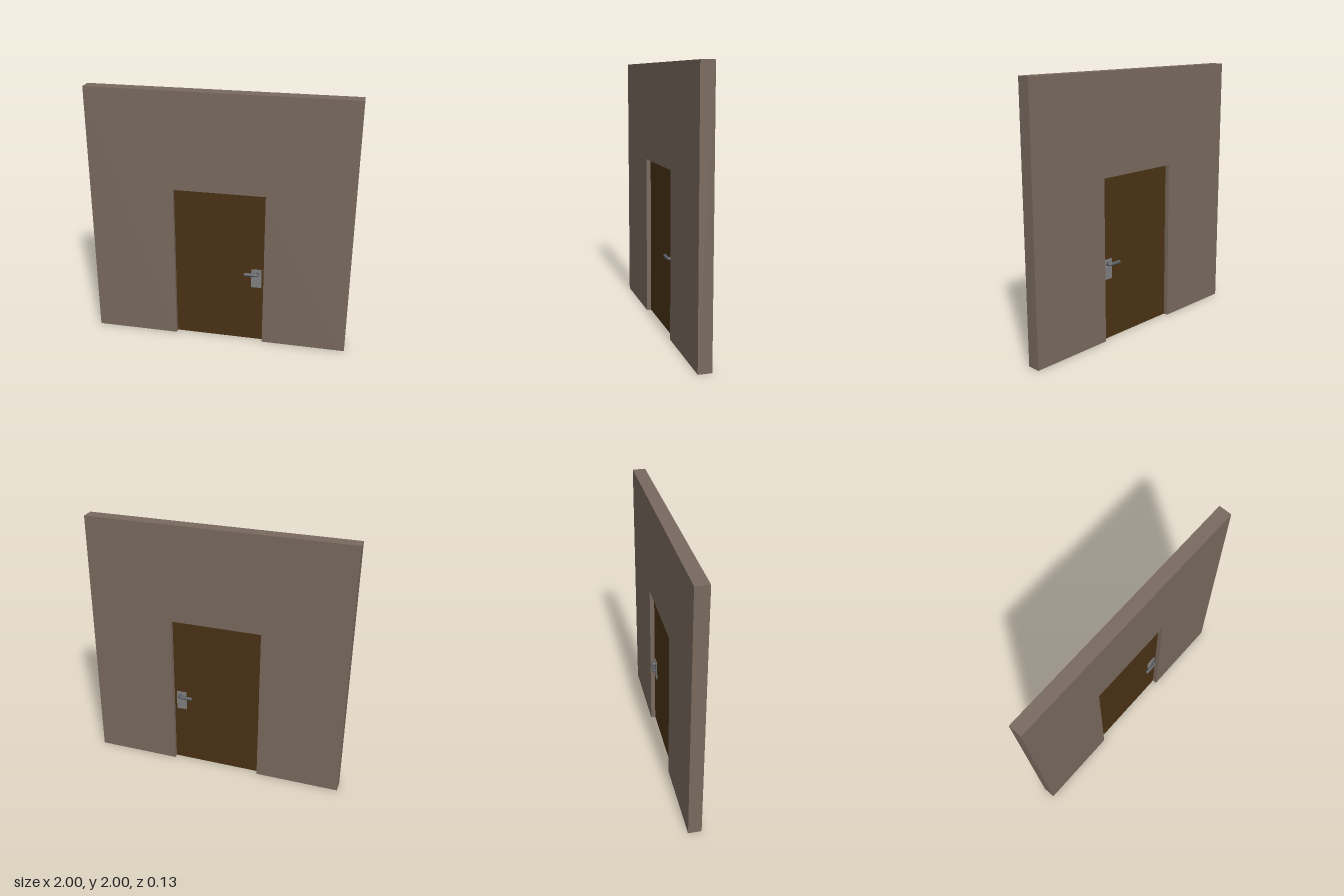
import * as THREE from 'three';

const mat = (color) => new THREE.MeshStandardMaterial({ color, side: THREE.DoubleSide });

function add(parent, name, geometry, material, x = 0, y = 0, z = 0) {
  const mesh = new THREE.Mesh(geometry, material);
  mesh.name = name;
  mesh.position.set(x, y, z);
  parent.add(mesh);
  return mesh;
}

// Wall outline with a doorway, extruded; the underside is left open
function wallGeometry(depth) {
  const outline = [[-1, 0], [-0.35, 0], [-0.35, 1.25], [0.35, 1.25], [0.35, 0], [1, 0], [1, 2], [-1, 2]];
  const shape = new THREE.Shape(outline.map(([x, y]) => new THREE.Vector2(x, y)));
  const solid = new THREE.ExtrudeGeometry(shape, { depth, bevelEnabled: false }).toNonIndexed();
  solid.translate(0, 0, -depth / 2);
  const p = solid.attributes.position;
  const kept = [];
  for (let i = 0; i < p.count; i += 3) {
    const onFloor = [0, 1, 2].every((k) => p.getY(i + k) < 1e-4);
    if (!onFloor) kept.push(i, i + 1, i + 2);
  }
  solid.setIndex(kept);
  solid.clearGroups();
  return solid;
}

// Lever handle and plate for one face of the door
function makeHandle(plateMat, leverMat) {
  const handle = new THREE.Group();
  add(handle, 'handlePlate', new THREE.BoxGeometry(0.08, 0.155, 0.006), plateMat, 0.29, 0.55, 0.018);

  // Post leaves the plate, bends and runs sideways as the grip
  const v = (x, z) => new THREE.Vector3(x, 0.595, z);
  const path = new THREE.CurvePath();
  path.add(new THREE.LineCurve3(v(0.3, 0.015), v(0.3, 0.034)));
  path.add(new THREE.QuadraticBezierCurve3(v(0.3, 0.034), v(0.3, 0.05), v(0.284, 0.05)));
  path.add(new THREE.LineCurve3(v(0.284, 0.05), v(0.204, 0.05)));
  add(handle, 'lever', new THREE.TubeGeometry(path, 32, 0.013, 12), leverMat);

  const tip = add(handle, 'leverTip', new THREE.SphereGeometry(0.013, 12, 8), leverMat, 0.204, 0.595, 0.05);
  tip.scale.x = 0.85;
  return handle;
}

export function createModel() {
  const model = new THREE.Group();
  add(model, 'wall', wallGeometry(0.1), mat(0x78695e));
  add(model, 'door', new THREE.BoxGeometry(0.7, 1.25, 0.03), mat(0x4a3214), 0, 0.625, 0);

  // Matching handles on both faces
  const plateMat = mat(0x808080);
  const leverMat = mat(0x5a5d62);
  const front = makeHandle(plateMat, leverMat);
  front.name = 'frontHandle';
  const back = makeHandle(plateMat, leverMat);
  back.name = 'backHandle';
  back.scale.z = -1;
  model.add(front, back);
  return model;
}
